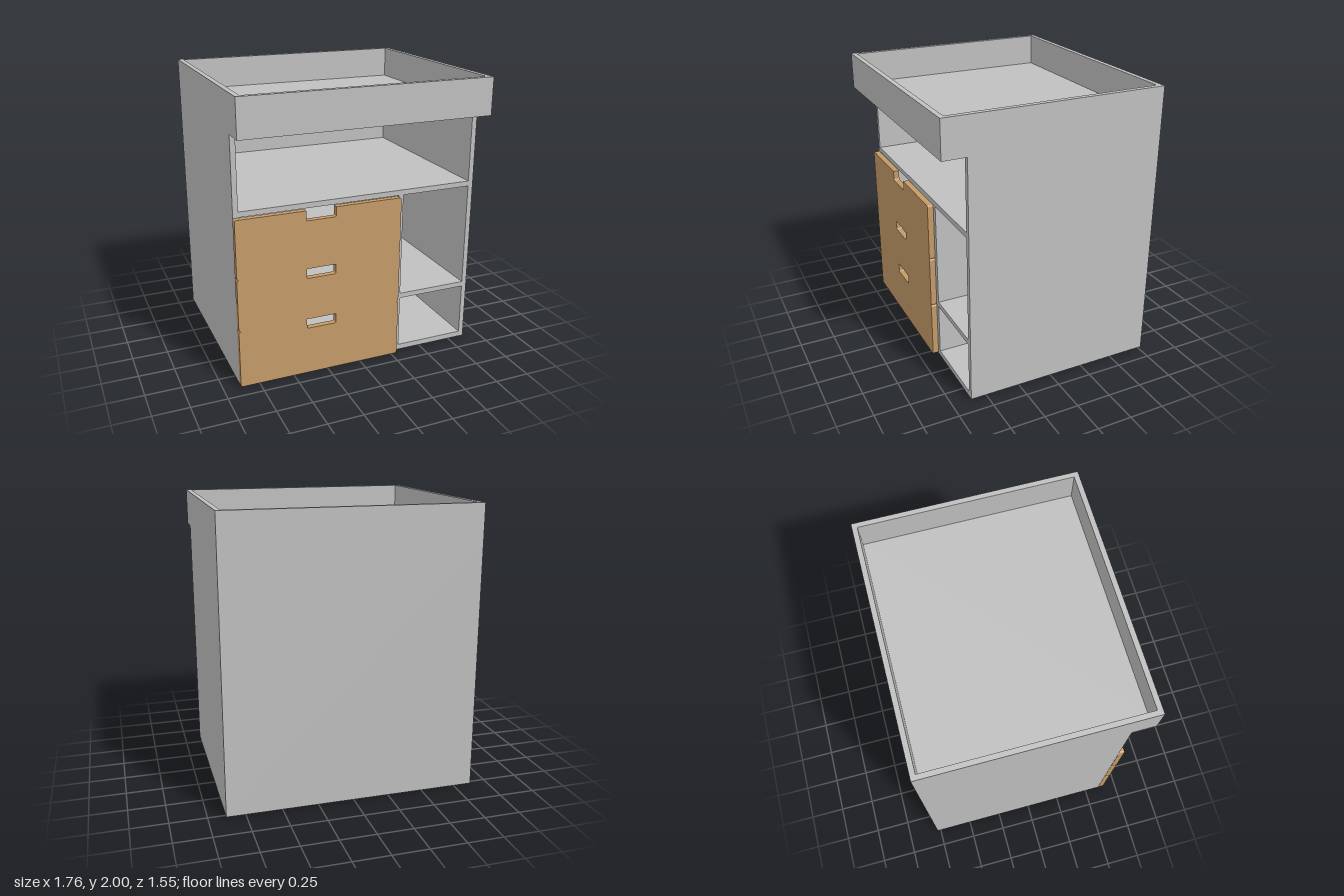
import * as THREE from 'three';

const HALF_W = 0.88, BACK = -0.775, BODY_FRONT = 0.61, TRAY_FRONT = 0.775;
const T = 0.036; // board thickness
const TRAY_Y = 1.74, TOP = 2;

// Closed rectangle as a list of points
function rect(x0, y0, x1, y1) {
  return [[x0, y0], [x1, y0], [x1, y1], [x0, y1]].map(([x, y]) => new THREE.Vector2(x, y));
}

function extrude(shape, depth) {
  return new THREE.ExtrudeGeometry(shape, { depth, bevelEnabled: false, curveSegments: 4 });
}

export function createModel() {
  const model = new THREE.Group();
  const grey = new THREE.MeshStandardMaterial({ color: 0xbfbfbf });
  grey.name = 'greyBoard';
  const wood = new THREE.MeshStandardMaterial({ color: 0xc49a68 });
  wood.name = 'wood';

  function add(name, geometry, material, x = 0, y = 0, z = 0) {
    const mesh = new THREE.Mesh(geometry, material);
    mesh.name = name;
    mesh.position.set(x, y, z);
    model.add(mesh);
    return mesh;
  }

  // Carcass: sides, shelves and divider in one extrusion, open niche on top
  const inner = HALF_W - T;
  const carcass = new THREE.Shape([
    [-HALF_W, 0], [HALF_W, 0], [HALF_W, TRAY_Y], [inner, TRAY_Y],
    [inner, 1.237], [-inner, 1.237], [-inner, TRAY_Y], [-HALF_W, TRAY_Y],
  ].map(([x, y]) => new THREE.Vector2(x, y)));
  const openings = [
    [0.328, 0.04, inner, 0.418], [0.328, 0.455, inner, 1.2],
    [-inner, 0.04, 0.292, 0.418], [-inner, 0.455, 0.292, 0.788], [-inner, 0.825, 0.292, 1.2],
  ];
  for (const o of openings) carcass.holes.push(new THREE.Path(rect(...o)));
  add('carcass', extrude(carcass, BODY_FRONT - BACK - T), grey, 0, 0, BACK + T);

  // Back board
  add('backPanel', new THREE.BoxGeometry(HALF_W * 2, TRAY_Y, T), grey, 0, TRAY_Y / 2, BACK + T / 2);

  // Overhanging open tray
  const depth = TRAY_FRONT - BACK;
  add('trayFloor', new THREE.BoxGeometry(HALF_W * 2, T, depth), grey, 0, TRAY_Y + T / 2, (TRAY_FRONT + BACK) / 2);
  const rim = new THREE.Shape(rect(-HALF_W, -TRAY_FRONT, HALF_W, -BACK));
  rim.holes.push(new THREE.Path(rect(-inner, -TRAY_FRONT + T, inner, -BACK - T)));
  add('trayRim', extrude(rim, TOP - TRAY_Y - T), grey, 0, TRAY_Y + T, 0).rotation.x = -Math.PI / 2;

  // Drawer fronts with rounded corners and a finger notch in the top edge
  function drawerFront(y0, y1) {
    const x0 = -0.882, x1 = 0.292, r = 0.016;
    const n0 = -0.402, n1 = -0.19, ny = y1 - 0.07, q = 0.012;
    const s = new THREE.Shape();
    s.moveTo(x0 + r, y0);
    s.lineTo(x1 - r, y0);
    s.quadraticCurveTo(x1, y0, x1, y0 + r);
    s.lineTo(x1, y1 - r);
    s.quadraticCurveTo(x1, y1, x1 - r, y1);
    s.lineTo(n1, y1);
    s.lineTo(n1, ny + q);
    s.quadraticCurveTo(n1, ny, n1 - q, ny);
    s.lineTo(n0 + q, ny);
    s.quadraticCurveTo(n0, ny, n0, ny + q);
    s.lineTo(n0, y1);
    s.lineTo(x0 + r, y1);
    s.quadraticCurveTo(x0, y1, x0, y1 - r);
    s.lineTo(x0, y0 + r);
    s.quadraticCurveTo(x0, y0, x0 + r, y0);
    return extrude(s, 0.042);
  }
  [[0.002, 0.416], [0.416, 0.788], [0.788, 1.198]].forEach(([y0, y1], i) =>
    add('drawerFront' + (i + 1), drawerFront(y0, y1), wood, 0, 0, BODY_FRONT));

  return model;
}
